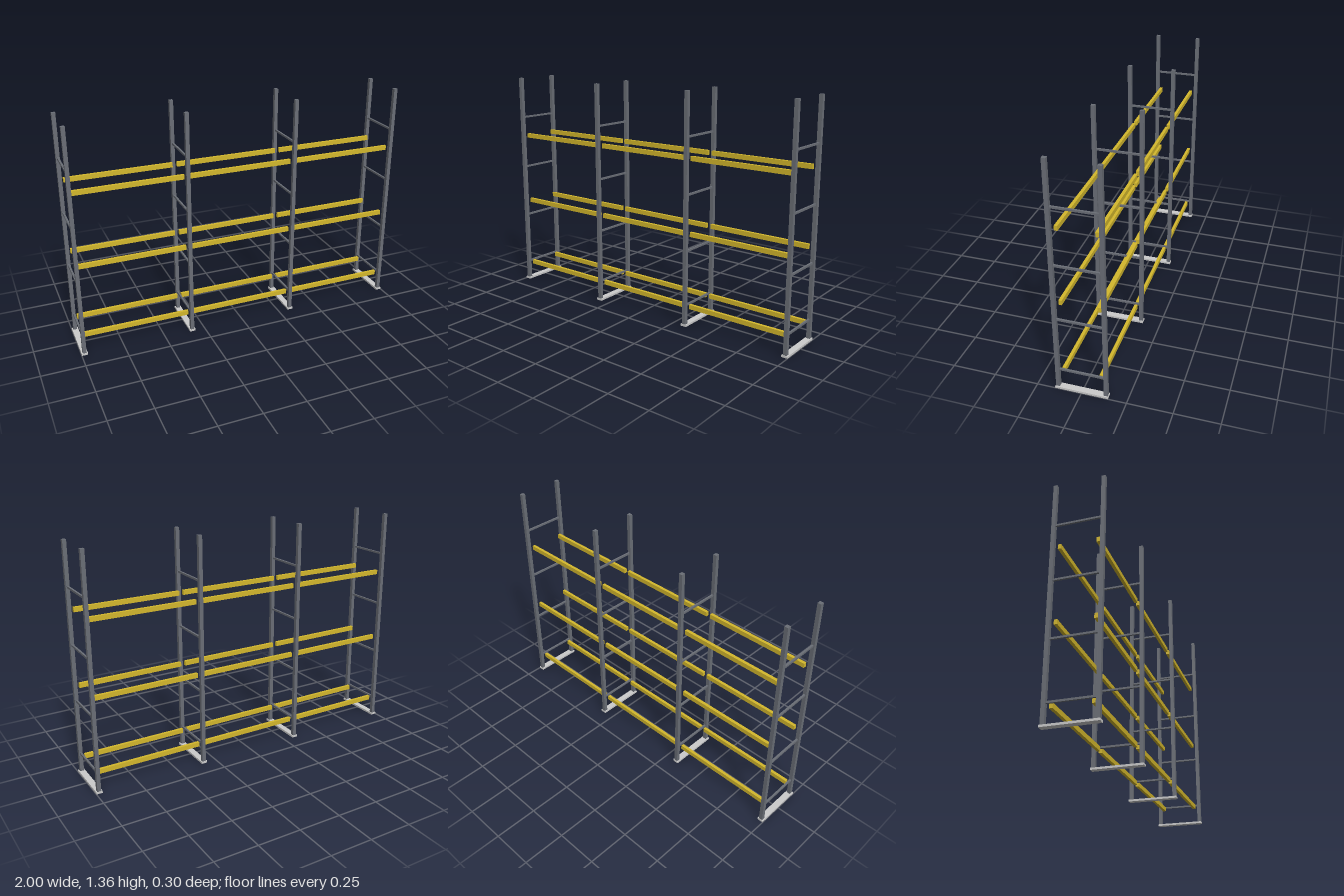
import * as THREE from 'three';

export function createModel() {
  const model = new THREE.Group();
  const steel = new THREE.MeshStandardMaterial({ color: 0x6a6e76 });
  const plate = new THREE.MeshStandardMaterial({ color: 0xcccccc });
  const yellow = new THREE.MeshStandardMaterial({ color: 0xd4b82c });

  const box = (parent, name, mat, [w, h, d], [x, y, z]) => {
    const mesh = new THREE.Mesh(new THREE.BoxGeometry(w, h, d), mat);
    mesh.name = name;
    mesh.position.set(x, y, z);
    parent.add(mesh);
  };

  const bays = 3, pitch = 0.6547, firstX = -0.982;
  const height = 1.36, footH = 0.012, post = 0.022, postZ = 0.134;

  // Ladder frames: foot plate, two posts and four rungs each
  for (let i = 0; i <= bays; i++) {
    const frame = new THREE.Group();
    frame.name = 'uprightFrame';
    frame.position.x = firstX + i * pitch;
    box(frame, 'footPlate', plate, [0.036, footH, 0.296], [0, footH / 2, 0]);
    for (const s of [-1, 1]) {
      box(frame, 'post', steel, [post, height - footH, post], [0, (height + footH) / 2, s * postZ]);
    }
    for (let r = 0; r < 4; r++) {
      box(frame, 'rung', steel, [0.011, 0.011, 2 * postZ - post], [0, 0.124 + r * 0.3275, 0]);
    }
    model.add(frame);
  }

  // Front and back load beams for every bay and level
  for (let i = 0; i < bays; i++) {
    for (const y of [0.113, 0.549, 0.985]) {
      for (const s of [-1, 1]) {
        box(model, 'loadBeam', yellow, [pitch - 0.027, 0.027, 0.018], [firstX + (i + 0.5) * pitch, y, s * 0.104]);
      }
    }
  }
  return model;
}
